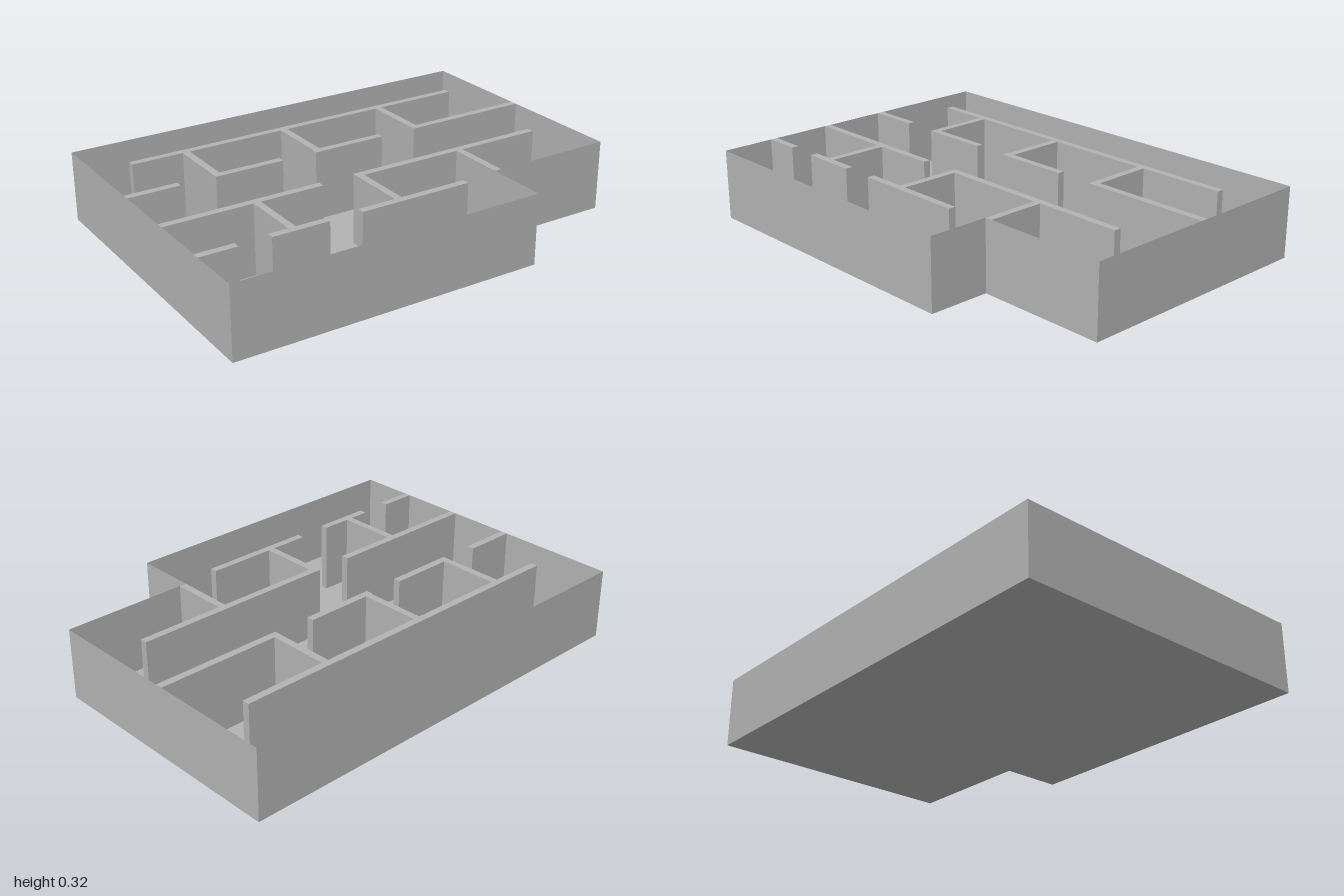
import * as THREE from 'three';

const HEIGHT = 0.32;
const THICK = 0.033;

export function createModel() {
  const group = new THREE.Group();
  group.name = 'floorPlan';
  const plaster = new THREE.MeshStandardMaterial({ color: 0xb2b2b2, side: THREE.DoubleSide });
  plaster.name = 'grey plaster';

  // Footprint with a notched front corner, as [x, z]
  const outline = [[-1, 0.72], [0.405, 0.72], [0.405, 0.44], [1, 0.44], [1, -0.72], [-1, -0.72]];

  // Floor slab without thickness
  const shape = new THREE.Shape(outline.map(([x, z]) => new THREE.Vector2(x, -z)));
  const floor = new THREE.Mesh(new THREE.ShapeGeometry(shape).rotateX(-Math.PI / 2), plaster);
  floor.name = 'floor';
  group.add(floor);

  // Paper-thin outer walls, one per side of the footprint
  outline.forEach(([x0, z0], i) => {
    const [x1, z1] = outline[(i + 1) % outline.length];
    const wall = new THREE.Mesh(new THREE.PlaneGeometry(Math.hypot(x1 - x0, z1 - z0), HEIGHT), plaster);
    wall.position.set((x0 + x1) / 2, HEIGHT / 2, (z0 + z1) / 2);
    wall.rotation.y = Math.atan2(z0 - z1, x1 - x0);
    wall.name = 'outerWall';
    group.add(wall);
  });

  function partition(name, x0, x1, z0, z1) {
    const wall = new THREE.Mesh(new THREE.BoxGeometry(x1 - x0, HEIGHT, z1 - z0), plaster);
    wall.position.set((x0 + x1) / 2, HEIGHT / 2, (z0 + z1) / 2);
    wall.name = name;
    group.add(wall);
  }

  // Partitions running along x, grouped by the z of their back face
  const rows = [
    { z: -0.484, spans: [[-0.836, 0.836]] },
    { z: -0.175, spans: [[-1, -0.762], [-0.6, -0.28], [-0.115, 0.23], [0.405, 1]] },
    { z: 0.143, spans: [[-1, -0.275], [-0.108, 0.836]] },
    { z: 0.446, spans: [[-1, -0.832], [-0.69, -0.433], [-0.283, 0.235]] },
  ];
  for (const { z, spans } of rows) {
    for (const [x0, x1] of spans) partition('longPartition', x0, x1, z, z + THICK);
  }

  // Partitions running along z, joining neighbouring rows: [left x, back row, front row]
  const crossWalls = [[-0.6, 0, 1], [-0.11, 0, 1], [0.405, 0, 1], [-0.6, 2, 3], [-0.108, 2, 3]];
  for (const [x, back, front] of crossWalls) {
    partition('crossPartition', x, x + THICK, rows[back].z + THICK, rows[front].z);
  }
  partition('crossPartition', 0.405, 0.405 + THICK, rows[2].z + THICK, 0.44);

  return group;
}
